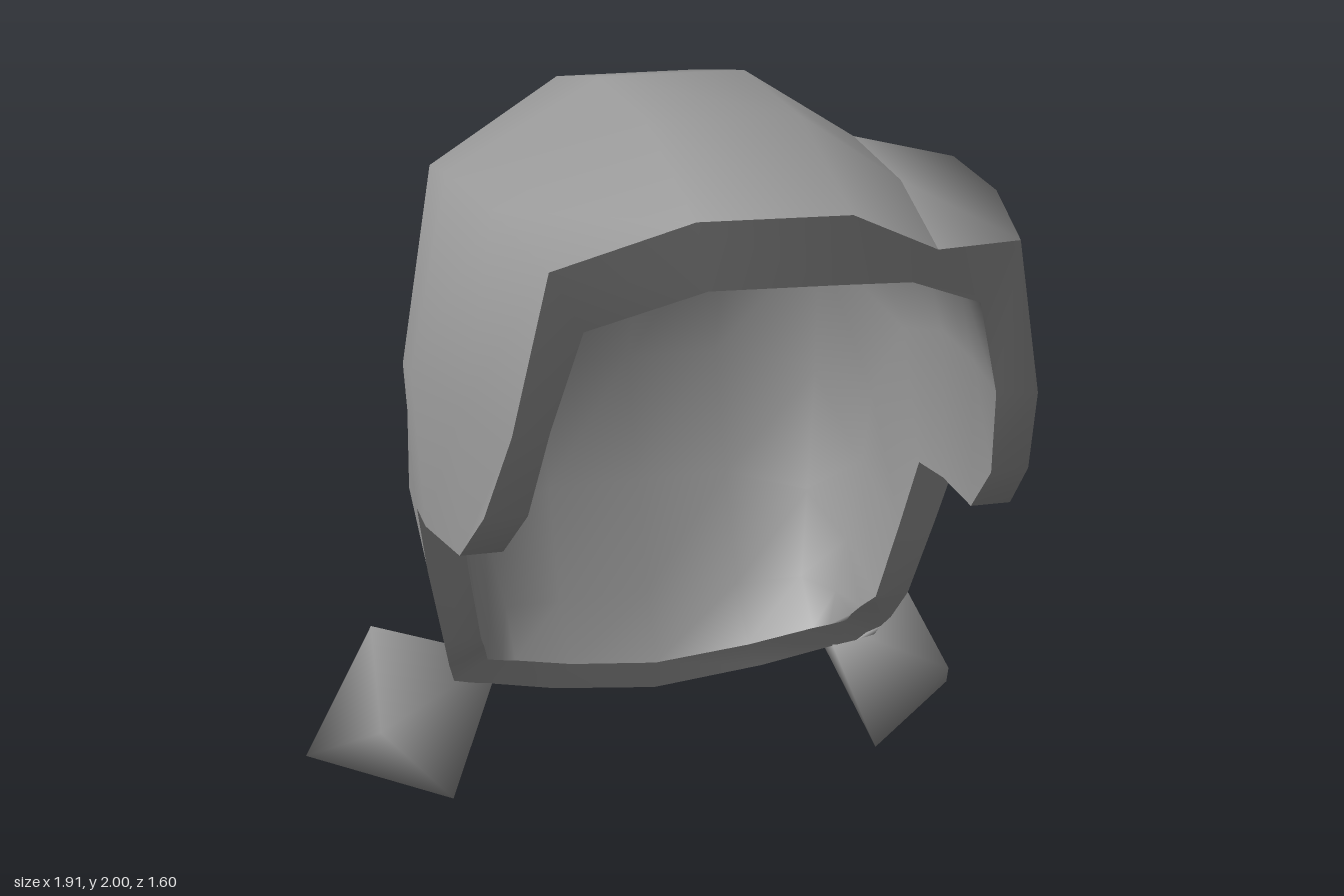
import * as THREE from 'three';
import { toCreasedNormals } from 'three/addons/utils/BufferGeometryUtils.js';

const material = new THREE.MeshStandardMaterial({ color: 0x999999, side: THREE.DoubleSide });

// Side strip of each row, from brow to nape: corner, middle and lower edge (x, y, z)
const sides = [
  [[0.57, 1.67, 0.69], [0.65, 1.28, 0.64], [0.69, 1.05, 0.51]],
  [[0.63, 1.73, 0.40], [0.71, 1.29, 0.38], [0.715, 0.91, 0.35]],
  [[0.66, 1.75, 0.05], [0.76, 1.29, 0.05], [0.745, 0.91, 0.10]],
  [[0.63, 1.71, -0.28], [0.73, 1.25, -0.20], [0.735, 0.91, -0.05]],
  [[0.58, 1.56, -0.58], [0.69, 1.10, -0.36], [0.70, 0.72, -0.11]],
  [[0.61, 1.10, -0.68], [0.68, 0.85, -0.42], [0.65, 0.50, -0.17]],
  [[0.55, 0.72, -0.58], [0.62, 0.60, -0.38], [0.625, 0.41, -0.23]],
  [[0.50, 0.45, -0.46], [0.58, 0.43, -0.35], [0.61, 0.37, -0.27]],
  [[0.50, 0.31, -0.32], [0.55, 0.325, -0.30], [0.60, 0.34, -0.29]],
];

// Crown of each row: y, z, x of three points, depth of the parting, lift and setback of the outer two
const crown = [
  [1.78, 0.80, [-0.25, 0.11, 0.33], 0.10, 0, 0.03],
  [1.95, 0.46, [-0.27, 0.10, 0.36], 0.17, 0, 0.01],
  [2.00, 0.07, [-0.28, 0.09, 0.38], 0.18, 0, 0],
  [1.94, -0.34, [-0.28, 0.09, 0.36], 0.16, 0, 0],
  [1.67, -0.70, [-0.29, 0.04, 0.31], 0.06, 0, 0],
  [1.16, -0.80, [-0.30, 0, 0.30], 0, 0, 0],
  [0.77, -0.69, [-0.30, 0, 0.30], 0, 0, 0],
  [0.42, -0.56, [-0.30, 0, 0.30], 0, 0, -0.02],
  [0.20, -0.43, [-0.30, 0, 0.30], 0, 0.05, -0.05],
];

const COLS = 9;
const ROWS = crown.length;
const PARTING = 5; // column of the parting
const CREASED_ROWS = 4; // rows over which the parting stays sharp

function hairPoints(partingDepth) {
  return crown.flatMap(([y, z, xs, drop, lift, back], r) => {
    const left = sides[r];
    const cornerLift = r > 0 && r < 4 ? 0.03 : 0;
    const right = left.map(([x, sy, sz], i) => [-x, sy + (i === 0 ? cornerLift : 0), sz]).reverse();
    const top = [
      [xs[0], y + lift, z - back],
      [xs[1], y, z],
      [xs[2], y + lift - drop * partingDepth, z - back],
    ];
    return [...right, ...top, ...left];
  });
}

// Inner wall: a shrunken copy with a shallow parting, meeting the outer one levelly at the sides
const rowDepth = [0.96, 0.92, 0.85, 0.85, 0.85, 0.85, 0.85, 0.9, 0.97];
function innerPoints() {
  return hairPoints(0.15).map(([x, y, z], i) => {
    const row = Math.floor(i / COLS);
    const fromEdge = Math.min(i % COLS, COLS - 1 - (i % COLS));
    const edgeDepth = row === 0 ? 1.02 : row < 3 ? 1 : 0.95;
    const depth = fromEdge === 0 ? edgeDepth : rowDepth[row];
    const level = fromEdge < 2 && row < (fromEdge === 0 ? 6 : 4);
    return [x * 0.85, level ? y : 0.7 + (y - 0.7) * 0.845, z * depth];
  });
}

function geometryFrom(points, index) {
  const g = new THREE.BufferGeometry();
  g.setAttribute('position', new THREE.Float32BufferAttribute(points.flat(), 3));
  if (index) g.setIndex(index);
  g.computeVertexNormals();
  return g;
}

// Outer wall, with doubled vertices along the parting for a sharp crease
function outerWall(points) {
  const crease = [];
  for (let r = 0; r < CREASED_ROWS; r++) crease.push(points[r * COLS + PARTING]);
  const index = [];
  for (let r = 0; r < ROWS - 1; r++) {
    for (let c = 0; c < COLS - 1; c++) {
      const at = (row) => (c === PARTING && row < CREASED_ROWS ? points.length + row : row * COLS + c);
      const a = at(r), d = at(r + 1), b = r * COLS + c + 1, e = b + COLS;
      index.push(a, b, d, b, e, d);
    }
  }
  return geometryFrom([...points, ...crease], index);
}

function innerWall(points) {
  const index = [];
  for (let r = 0; r < ROWS - 1; r++) {
    for (let c = 0; c < COLS - 1; c++) {
      const a = r * COLS + c, b = a + 1, d = a + COLS, e = d + 1;
      index.push(a, d, b, b, d, e);
    }
  }
  return geometryFrom(points, index);
}

// Band joining the two walls all the way round the opening
function rim(outer, inner) {
  const loop = [];
  for (let c = 0; c < COLS - 1; c++) loop.push(c);
  for (let r = 0; r < ROWS - 1; r++) loop.push(r * COLS + COLS - 1);
  for (let c = COLS - 1; c > 0; c--) loop.push((ROWS - 1) * COLS + c);
  for (let r = ROWS - 1; r > 0; r--) loop.push(r * COLS);
  const tris = loop.flatMap((a, i) => {
    const b = loop[(i + 1) % loop.length];
    return [outer[a], inner[a], inner[b], outer[a], inner[b], outer[b]];
  });
  return toCreasedNormals(geometryFrom(tris), 0.8);
}

// Skewed eight-sided bunch of hair: four corners plus a front and a back point
function bunch(side) {
  const points = [
    [0.955, 0.04, -0.61], [0.77, 0.42, -0.56], [0.46, 0.38, -0.33], [0.61, 0, -0.29],
    [0.81, 0.23, -0.25], [0.57, 0.19, -0.61],
  ].map(([x, y, z]) => [x * side, y, z]);
  const index = [];
  for (let i = 0; i < 4; i++) {
    const j = (i + 1) % 4;
    if (side > 0) index.push(i, j, 4, j, i, 5);
    else index.push(j, i, 4, i, j, 5);
  }
  return geometryFrom(points, index);
}

export function createModel() {
  const model = new THREE.Group();
  model.name = 'hair';
  const add = (name, geometry) => {
    const mesh = new THREE.Mesh(geometry, material);
    mesh.name = name;
    model.add(mesh);
  };

  const outer = hairPoints(1);
  const inner = innerPoints();
  add('outerHair', outerWall(outer));
  add('innerHair', innerWall(inner));
  add('hairRim', rim(outer, inner));
  add('leftPigtail', bunch(1));
  add('rightPigtail', bunch(-1));
  return model;
}
